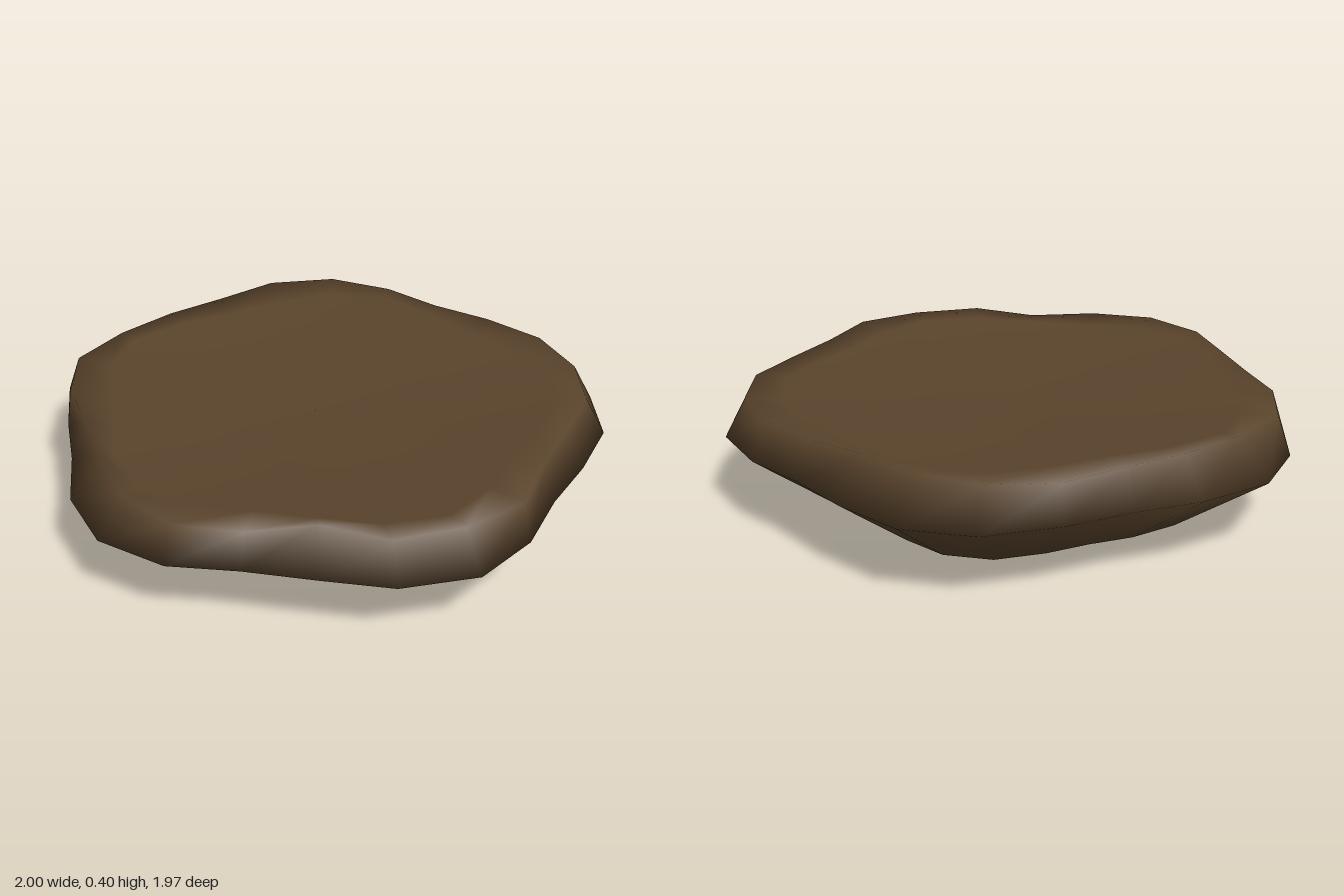
import * as THREE from 'three';

// Joins rows of points into one smooth skin; closed rows wrap around.
function skin(rows, closed) {
  const n = rows[0].length;
  const index = [];
  for (let j = 0; j < rows.length - 1; j++) {
    for (let i = 0; i < (closed ? n : n - 1); i++) {
      const a = j * n + i, b = j * n + (i + 1) % n;
      const c = a + n, d = b + n;
      if (closed) index.push(a, c, b, b, c, d);
      else index.push(a, b, c, b, d, c);
    }
  }
  const geometry = new THREE.BufferGeometry();
  geometry.setAttribute('position', new THREE.Float32BufferAttribute(rows.flat(2), 3));
  geometry.setIndex(index);
  geometry.computeVertexNormals();
  return geometry;
}

export function createModel() {
  const brown = new THREE.MeshStandardMaterial({ color: 0x5a442c, side: THREE.DoubleSide });
  brown.name = 'earth brown';
  const green = new THREE.MeshStandardMaterial({ color: 0x2d4f2b, side: THREE.DoubleSide });
  green.name = 'dark green';

  // Widest outline of the slab, clockwise from the back: x, z, and how far the rim is drawn in
  const outline = [
    [0, -0.97, 0.95], [0.25, -0.99, 0.96], [0.51, -0.94, 0.93], [0.71, -0.77, 0.93],
    [0.81, -0.53, 0.93], [0.88, -0.29, 0.95], [0.98, -0.05, 0.965], [1, 0.21, 0.91],
    [0.86, 0.45, 0.93], [0.66, 0.6, 0.88], [0.45, 0.75, 0.98], [0.26, 0.91, 0.96],
    [0, 0.98, 0.9], [-0.26, 0.9, 0.87], [-0.47, 0.74, 0.93], [-0.67, 0.61, 0.98],
    [-0.88, 0.45, 0.95], [-1, 0.21, 0.885], [-0.97, -0.06, 0.91], [-0.89, -0.29, 0.95],
    [-0.83, -0.53, 0.98], [-0.72, -0.78, 0.93], [-0.51, -0.94, 0.88], [-0.25, -0.975, 0.88],
  ];
  const ring = (s, y, dx = 0, dz = 0) => outline.map(([x, z]) => [x * s + dx, y, z * s + dz]);

  // Open base, belly, uneven rim, then the shallow dished top
  const slab = new THREE.Mesh(skin([
    ring(0.655, 0.027, -0.02, -0.03),
    ring(1, 0.26),
    outline.map(([x, z, f]) => [x * f, 0.4, z * f]),
    ring(0.82, 0.392),
    ring(0.5, 0.37),
    ring(0.001, 0.36),
  ], true), brown);
  slab.name = 'earthSlab';

  // Green part bowl inside the open base: a sloping wall and a floor dipping to the lowest point
  const top = [[0.03, -0.52], [0.226, -0.5], [0.373, -0.41], [0.49, -0.19], [0.54, 0.19], [0.53, 0.34]]
    .map(([x, z]) => [x, 0.2, z]);
  const foot = [[-0.04, -0.35], [0.08, -0.31], [0.2, -0.24], [0.28, -0.11], [0.29, 0.05], [0.29, 0.2]]
    .map(([x, z]) => [x, 0.06, z]);
  const tip = [-0.2, 0, -0.05], end = [-0.04, 0.06, 0.24];
  const edge = foot.map((p, i) => tip.map((v, k) => v + (end[k] - v) * i / 5));
  const wall = new THREE.Mesh(skin([top, foot], false), green);
  wall.name = 'greenWall';
  const floor = new THREE.Mesh(skin([foot, edge], false), green);
  floor.name = 'greenFloor';

  const model = new THREE.Group();
  model.name = 'earthMound';
  model.add(slab, wall, floor);
  return model;
}
